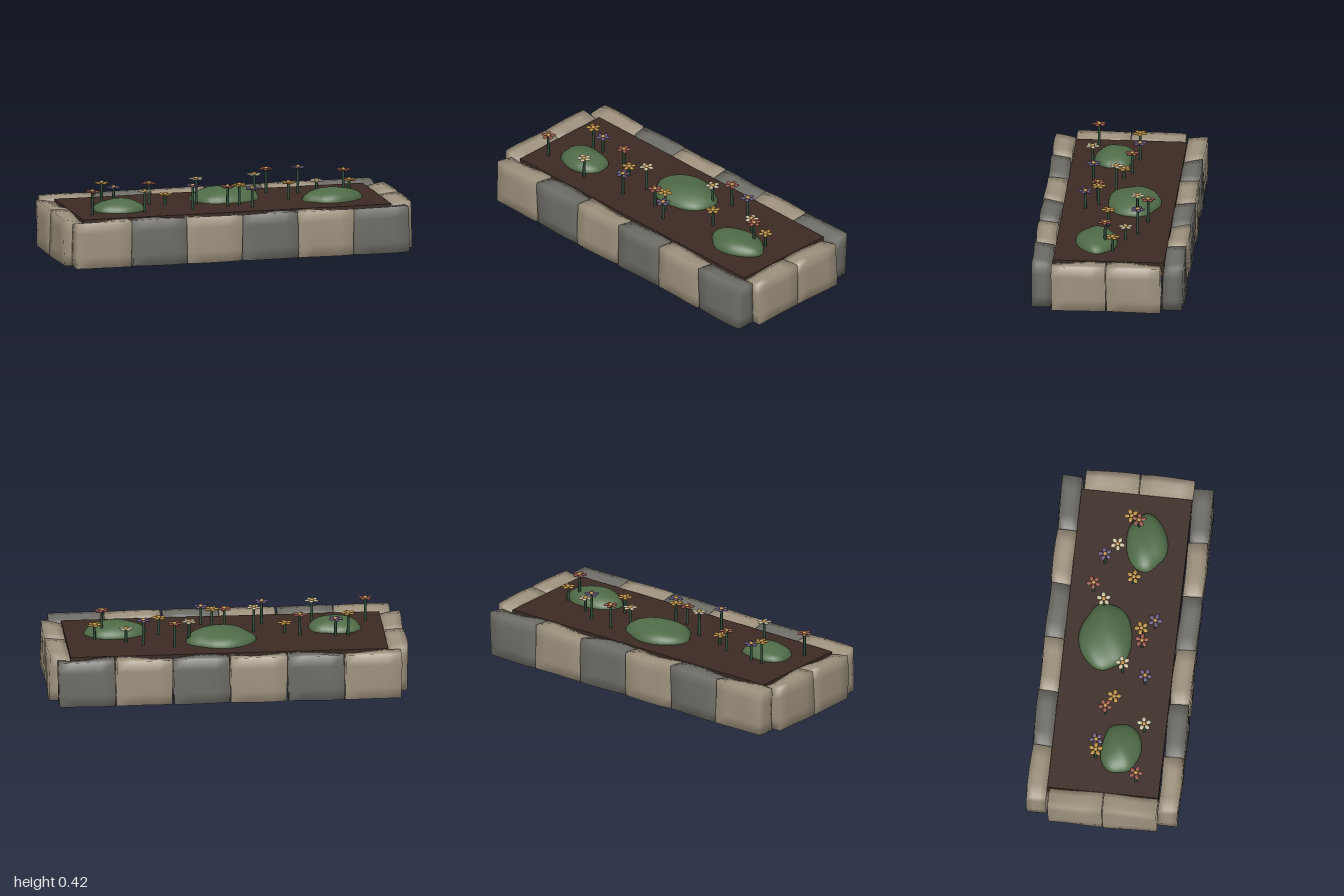
import * as THREE from 'three';
import { mergeVertices } from 'three/addons/utils/BufferGeometryUtils.js';

const mat = (color) => new THREE.MeshStandardMaterial({ color });
const TAN = mat(0x9e927e), GREY = mat(0x6d6c66), SOIL = mat(0x3b2a23);
const LEAF = mat(0x4f6b47), STEM = mat(0x2f4a38), CENTRE = mat(0xb98e42);
const PETALS = { red: mat(0x945347), yellow: mat(0xb98e42), purple: mat(0x64557a), cream: mat(0xcabf9f) };
const SOIL_TOP = 0.262, SOIL_BOTTOM = 0.18;

function add(parent, name, geometry, material, x = 0, y = 0, z = 0) {
  const mesh = new THREE.Mesh(geometry, material);
  mesh.name = name;
  mesh.position.set(x, y, z);
  parent.add(mesh);
  return mesh;
}

// Move every vertex by a rule, then smooth the normals
function reshape(geometry, rule) {
  geometry.deleteAttribute('uv');
  geometry.deleteAttribute('normal');
  const g = mergeVertices(geometry, 1e-5);
  const p = g.attributes.position, v = new THREE.Vector3();
  for (let i = 0; i < p.count; i++) {
    rule(v.fromBufferAttribute(p, i));
    p.setXYZ(i, v.x, v.y, v.z);
  }
  g.computeVertexNormals();
  return g;
}

// Hewn stone: few segments with smooth normals, so it looks cushioned; inside is -z
function stoneGeometry(w, h, d, seed) {
  const r = 0.01, core = new THREE.Vector3();
  const limit = new THREE.Vector3(w / 2 - r, h / 2 - r, d / 2 - r);
  const low = limit.clone().negate();
  return reshape(new THREE.BoxGeometry(w, h, d, 4, 4, 3), (v) => {
    core.copy(v).clamp(low, limit);
    v.sub(core);
    if (v.lengthSq() > 0) v.setLength(r);
    v.add(core);
    const up = v.y / h + 0.5, inward = 0.5 - v.z / d;
    v.y -= up * inward * (0.018 + 0.01 * Math.sin(v.x * 14 + seed * 2.3));
    v.z += 0.004 * Math.sin(v.x * 13 + v.y * 11 + seed * 1.7);
    v.x += 0.002 * Math.sin(v.y * 17 + seed * 3.1);
  });
}

// Low irregular dome with a base at y = 0
function bushGeometry(rx, h, rz, seed) {
  return reshape(new THREE.SphereGeometry(1, 32, 14, 0, Math.PI * 2, 0, Math.PI / 2), (v) => {
    const k = 1 + 0.04 * Math.sin(3 * v.x + seed) * Math.cos(2.5 * v.z - seed)
      + 0.03 * Math.sin(5 * v.z + 4 * v.x + seed * 2);
    v.set(v.x * k * rx, v.y * k * h, v.z * k * rz);
  });
}

const petalGeometry = new THREE.SphereGeometry(1, 10, 8).scale(0.0165, 0.006, 0.0125);
const centreGeometry = new THREE.SphereGeometry(1, 12, 8).scale(0.012, 0.009, 0.012);

function makeFlower(x, z, top, color, turn) {
  const flower = new THREE.Group();
  flower.name = 'flower';
  flower.position.set(x, 0, z);
  const headY = top - 0.009, base = SOIL_TOP - 0.01;
  add(flower, 'stem', new THREE.CylinderGeometry(0.007, 0.008, headY - base, 8), STEM, 0, (headY + base) / 2);
  add(flower, 'flowerCentre', centreGeometry, CENTRE, 0, headY);
  for (let i = 0; i < 5; i++) {
    const a = turn + (i * Math.PI * 2) / 5;
    const petal = add(flower, 'petal', petalGeometry, PETALS[color],
      Math.cos(a) * 0.025, headY - 0.004, -Math.sin(a) * 0.025);
    petal.rotation.y = a;
  }
  return flower;
}

export function createModel() {
  const model = new THREE.Group();
  model.name = 'flowerBed';

  // Long walls: six stones each, alternating in colour
  for (const side of [1, -1]) {
    for (let i = 0; i < 6; i++) {
      const stone = add(model, side > 0 ? 'frontStone' : 'backStone',
        stoneGeometry(0.316, 0.266, 0.117, i + side * 4), i % 2 ? GREY : TAN,
        -0.7925 + i * 0.317, 0.139, side * 0.364);
      if (side < 0) stone.rotation.y = Math.PI;
    }
  }

  // End walls: two stones each
  for (const side of [1, -1]) {
    for (const half of [1, -1]) {
      const stone = add(model, side > 0 ? 'leftEndStone' : 'rightEndStone',
        stoneGeometry(0.306, 0.266, 0.122, side * 2 + half * 5), TAN,
        side * 0.935, 0.139, 0.004 + half * 0.152);
      stone.rotation.y = side * Math.PI / 2;
    }
  }

  // Bed of soil held between the stones, open underneath
  add(model, 'soil', new THREE.BoxGeometry(1.76, SOIL_TOP - SOIL_BOTTOM, 0.615), SOIL,
    -0.003, (SOIL_TOP + SOIL_BOTTOM) / 2, -0.003);

  // Bushes: x, z, half width, height, half depth
  [
    [-0.617, 0.067, 0.148, 0.064, 0.112],
    [0.028, -0.083, 0.195, 0.074, 0.147],
    [0.597, 0.08, 0.167, 0.069, 0.115],
  ].forEach(([x, z, rx, h, rz], i) =>
    add(model, 'bush', bushGeometry(rx, h, rz, 1 + i * 2.1), LEAF, x, SOIL_TOP - 0.003, z));

  // Flowers: x, z, top height, petal colour
  [
    [-0.68, -0.065, 0.403, 'yellow'], [-0.61, -0.07, 0.373, 'purple'],
    [-0.795, 0.17, 0.405, 'red'], [-0.5, 0.185, 0.394, 'cream'],
    [-0.415, -0.04, 0.392, 'red'], [-0.335, 0, 0.333, 'yellow'],
    [-0.165, 0.03, 0.418, 'cream'], [-0.22, 0.16, 0.406, 'purple'],
    [-0.01, 0.12, 0.383, 'red'], [0.06, 0.11, 0.387, 'yellow'],
    [0.115, 0.18, 0.378, 'purple'], [0.205, -0.115, 0.396, 'cream'],
    [0.29, -0.18, 0.41, 'red'], [0.36, 0.035, 0.371, 'yellow'],
    [0.46, -0.135, 0.419, 'purple'], [0.55, -0.075, 0.351, 'cream'],
    [0.675, 0.03, 0.426, 'red'], [0.72, -0.015, 0.358, 'yellow'],
  ].forEach(([x, z, top, color], i) => model.add(makeFlower(x, z, top, color, i * 0.47)));

  return model;
}
